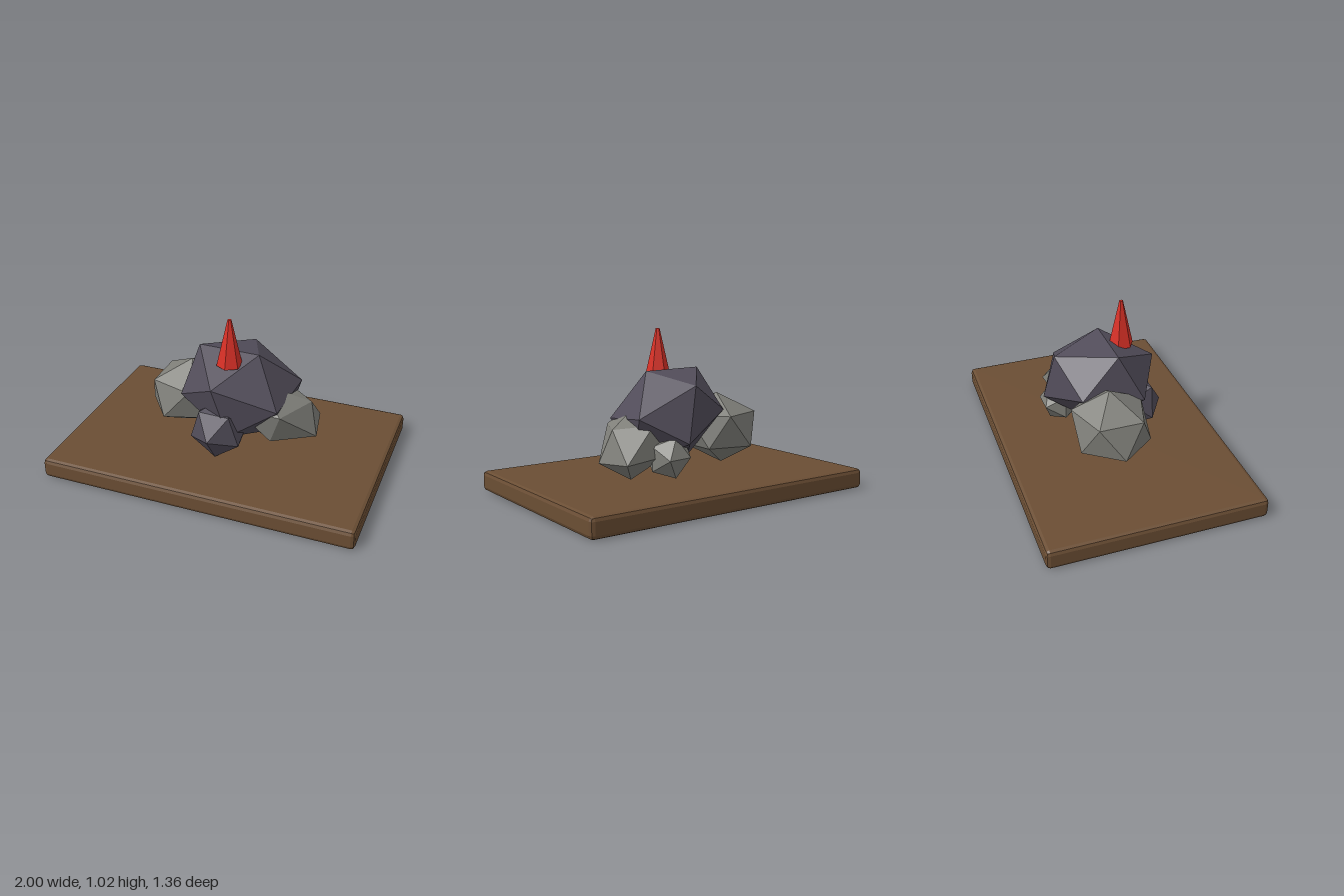
import * as THREE from 'three';
import { RoundedBoxGeometry } from 'three/addons/geometries/RoundedBoxGeometry.js';

const PHI = (1 + Math.sqrt(5)) / 2;

function material(name, color) {
  const m = new THREE.MeshStandardMaterial({ color, flatShading: true });
  m.name = name;
  return m;
}

// Twenty-sided rock, stretched so that one face has the corners
// a, b, c (measured from the rock's centre; a-c-b is counterclockwise).
function rock(name, mat, centre, a, b, c) {
  const [A, B, C] = [a, b, c].map((p) => new THREE.Vector3(...p));
  const X = B.clone().sub(A).multiplyScalar(0.5);
  const Y = A.clone().add(B).multiplyScalar(0.5 / PHI);
  const Z = C.clone().sub(Y).divideScalar(PHI);
  const geometry = new THREE.IcosahedronGeometry(Math.hypot(1, PHI), 0);
  geometry.applyMatrix4(new THREE.Matrix4().makeBasis(X, Y, Z));
  geometry.computeVertexNormals();
  const mesh = new THREE.Mesh(geometry, mat);
  mesh.name = name;
  mesh.position.set(...centre);
  return mesh;
}

export function createModel() {
  const wood = material('brown wood', 0x6b4e34);
  const darkStone = material('dark purple stone', 0x524d5a);
  const greyStone = material('grey stone', 0x80807a);
  const red = material('red', 0xd83026);

  const model = new THREE.Group();
  model.name = 'rockPile';

  // Chamfered base board
  const board = new THREE.Mesh(new RoundedBoxGeometry(2, 0.126, 1.36, 1, 0.025), wood);
  board.name = 'baseBoard';
  board.position.y = 0.063;
  model.add(board);

  // Rocks
  model.add(
    rock('mainRock', darkStone, [0.065, 0.495, -0.025],
      [-0.265, 0.275, 0.045], [0.125, 0.27, 0.045], [-0.075, 0.135, 0.34]),
    rock('frontRock', darkStone, [0, 0.31, 0.19],
      [-0.105, 0.135, 0.09], [0.09, 0.13, 0.09], [-0.018, -0.02, 0.18]),
    rock('rightRock', greyStone, [-0.315, 0.38, -0.065],
      [-0.185, 0.105, 0.14], [-0.185, 0.105, -0.137], [0.025, 0.23, -0.005]),
    rock('leftRock', greyStone, [0.31, 0.36, -0.04],
      [-0.09, 0.222, 0.085], [0.195, 0.085, -0.05], [0.07, 0.08, 0.21]),
    rock('backRock', greyStone, [0.2, 0.275, -0.235],
      [0, 0.122, 0.075], [0, 0.122, -0.075], [0.12, 0.07, 0]),
  );

  // Six-sided blunt spike on top
  const spike = new THREE.Mesh(new THREE.CylinderGeometry(0.012, 0.08, 0.3, 6), red);
  spike.name = 'spike';
  spike.position.set(0.035, 0.87, 0.118);
  model.add(spike);

  return model;
}
